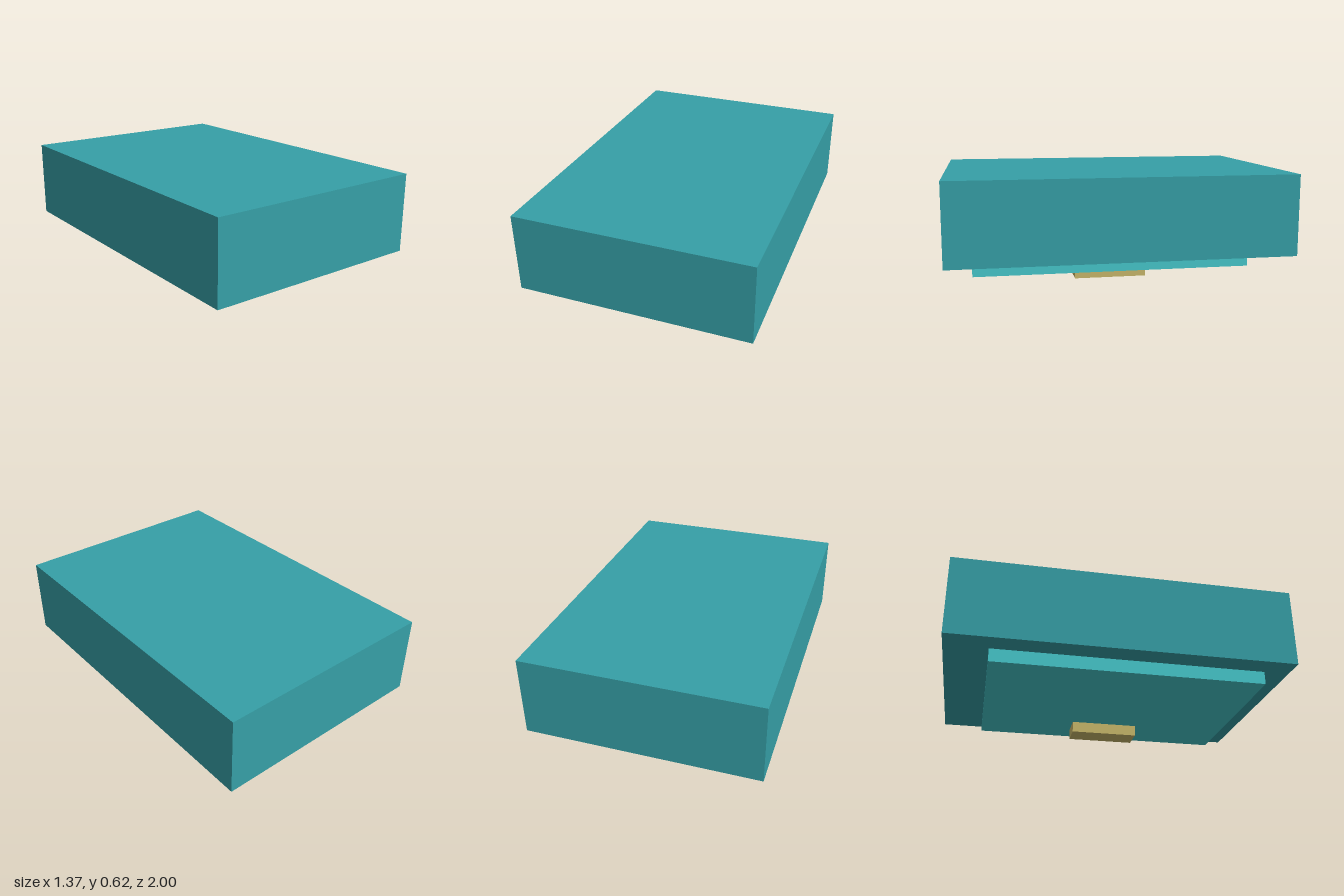
import * as THREE from 'three';

const mat = (name, color) => {
  const m = new THREE.MeshStandardMaterial({ color });
  m.name = name;
  return m;
};

// Box given by its [min, max] extents on each axis
function box(name, material, [x0, x1], [y0, y1], [z0, z1]) {
  const mesh = new THREE.Mesh(new THREE.BoxGeometry(x1 - x0, y1 - y0, z1 - z0), material);
  mesh.position.set((x0 + x1) / 2, (y0 + y1) / 2, (z0 + z1) / 2);
  mesh.name = name;
  return mesh;
}

export function createModel() {
  const teal = mat('teal', 0x36a0a7);
  const turquoise = mat('turquoise', 0x46c8cc);
  const brass = mat('brass', 0xc9b86a);

  const model = new THREE.Group();
  model.name = 'panelledBox';
  model.add(
    // Main block
    box('body', teal, [-0.685, 0.685], [0.145, 0.62], [-1, 1]),
    // Raised panel on the underside, set slightly forward
    box('panel', turquoise, [-0.55, 0.55], [0.067, 0.145], [-0.75, 0.85]),
    // Small grip on the panel, on the left side
    box('handle', brass, [0.267, 0.417], [0, 0.067], [-0.16, 0.26]),
  );
  return model;
}
